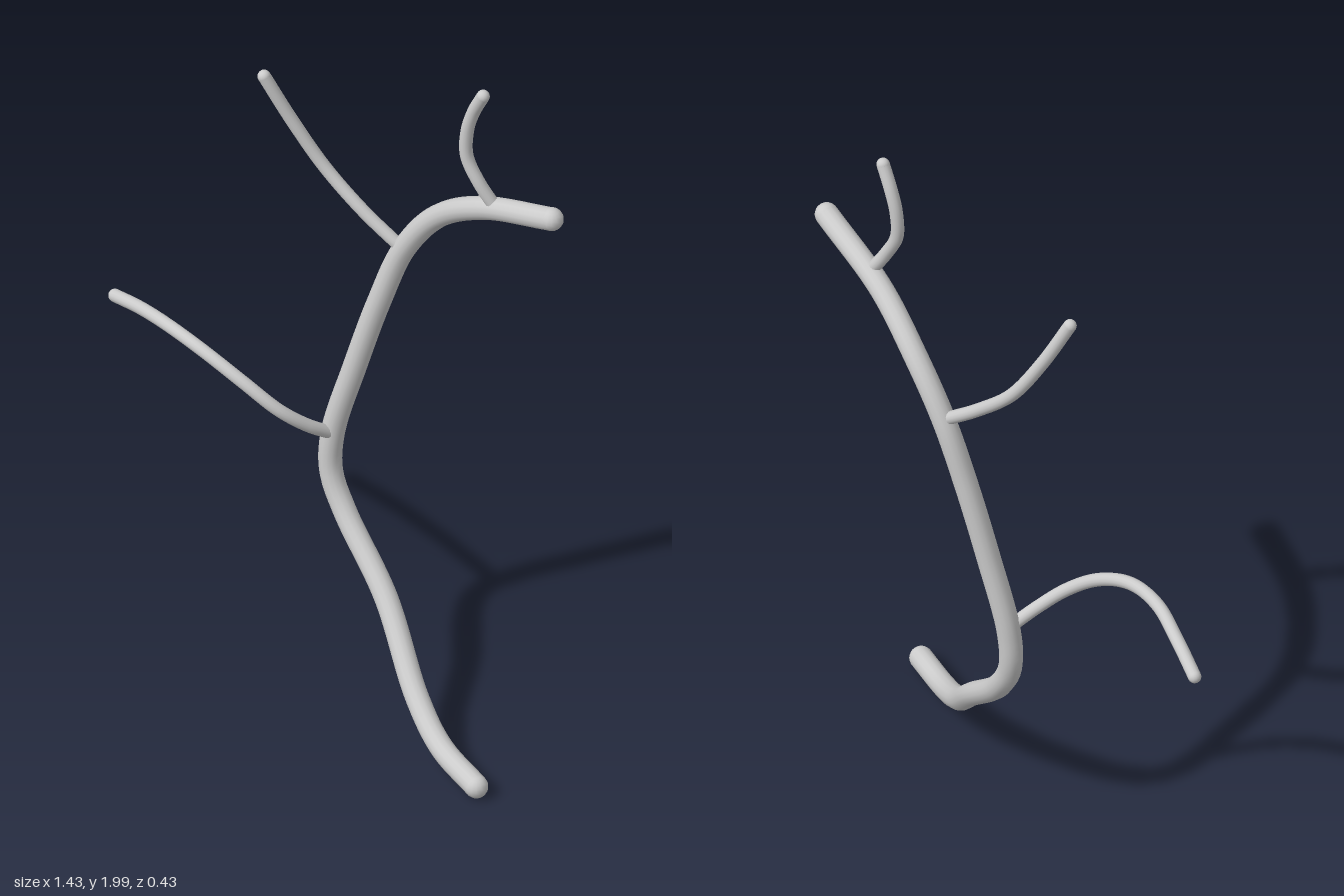
import * as THREE from 'three';

const material = new THREE.MeshStandardMaterial({ color: 0xcccccc });

// A smooth round limb through the given points, with rounded ends
function limb(name, radius, points) {
  const group = new THREE.Group();
  group.name = name;
  const path = new THREE.CatmullRomCurve3(points.map(p => new THREE.Vector3(...p)));
  const body = new THREE.Mesh(
    new THREE.TubeGeometry(path, points.length * 8, radius, 14), material);
  body.name = name + 'Body';
  group.add(body);
  for (const t of [0, 1]) {
    const cap = new THREE.Mesh(new THREE.SphereGeometry(radius, 14, 10), material);
    cap.name = name + (t ? 'Tip' : 'Base');
    cap.position.copy(path.getPoint(t));
    group.add(cap);
  }
  return group;
}

export function createModel() {
  const model = new THREE.Group();
  model.name = 'branch';

  // Main stem, from the ground up to the thick upper end
  model.add(limb('mainStem', 0.032, [
    [0.683, 0.038, 0.183], [0.52, 0.065, 0.13], [0.39, 0.135, 0.07],
    [0.2, 0.315, -0.035], [0.02, 0.48, -0.088], [-0.035, 0.58, -0.098],
    [-0.036, 0.7, -0.105], [0.02, 0.93, -0.13], [0.08, 1.15, -0.157],
    [0.145, 1.335, -0.18], [0.25, 1.48, -0.187], [0.42, 1.596, -0.167],
    [0.672, 1.683, -0.147],
  ]));

  // Low twig, arching forward and out to the right
  model.add(limb('lowerTwig', 0.018, [
    [-0.03, 0.705, -0.1], [-0.06, 0.755, -0.03], [-0.11, 0.815, 0.03],
    [-0.2, 0.885, 0.067], [-0.32, 0.937, 0.08], [-0.45, 0.952, 0.064],
    [-0.58, 0.932, 0.025], [-0.698, 0.9, -0.012],
  ]));

  // Middle twig, rising to the right
  model.add(limb('middleTwig', 0.018, [
    [0.14, 1.335, -0.178], [0.03, 1.42, -0.152], [-0.08, 1.525, -0.128],
    [-0.16, 1.66, -0.09], [-0.222, 1.8, -0.048],
  ]));

  // Short twig near the upper end
  model.add(limb('upperTwig', 0.018, [
    [0.468, 1.63, -0.158], [0.43, 1.695, -0.142], [0.394, 1.77, -0.135],
    [0.394, 1.85, -0.137], [0.412, 1.915, -0.14], [0.445, 1.982, -0.14],
  ]));

  return model;
}
